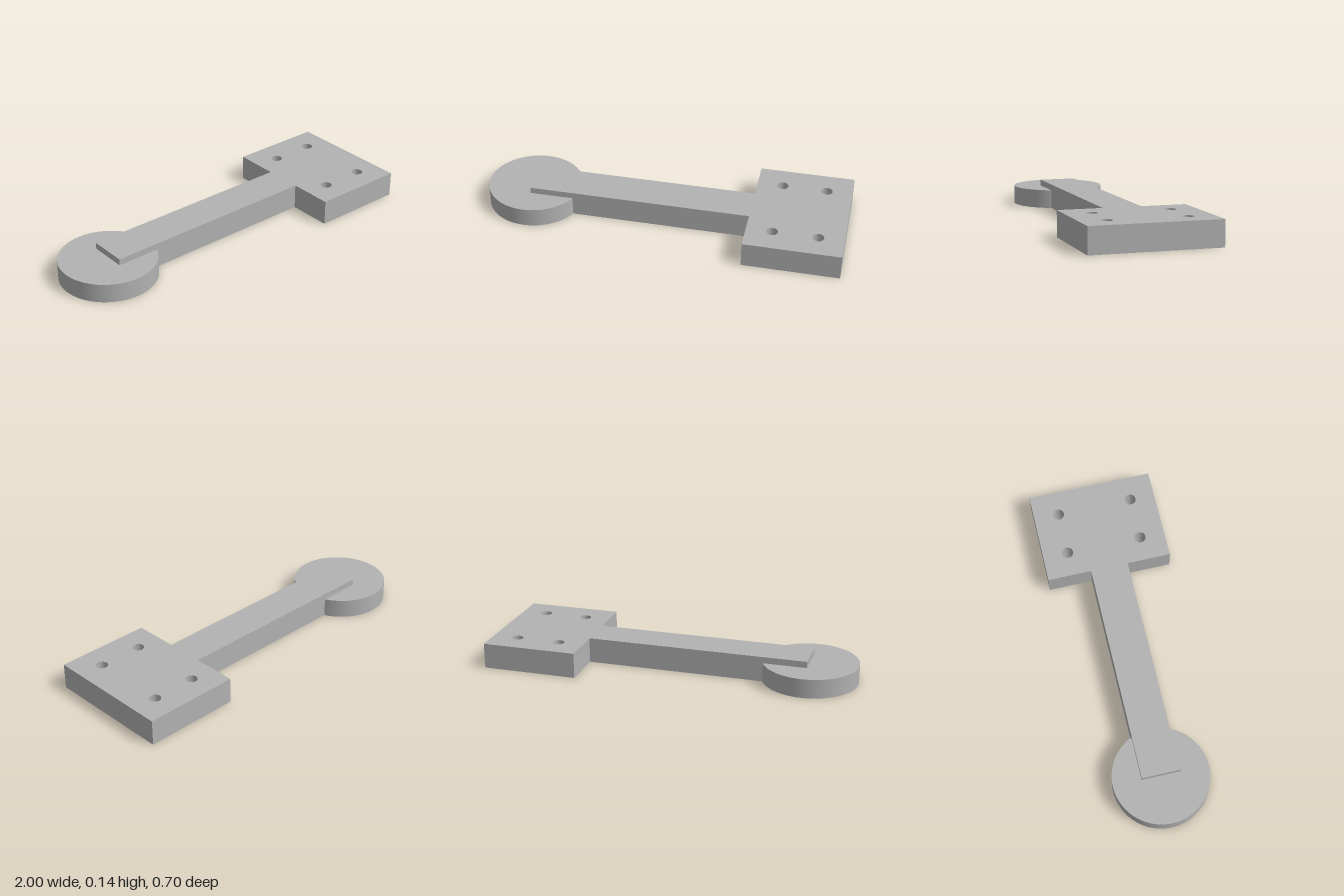
import * as THREE from 'three';
import { toCreasedNormals } from 'three/addons/utils/BufferGeometryUtils.js';

const U = 2 / 57.5; // one design unit

export function createModel() {
  const model = new THREE.Group();
  model.name = 'mountingArm';
  const grey = new THREE.MeshStandardMaterial({ color: 0xb2b2b2 });
  grey.name = 'plain grey';

  // Square-ended mounting plate and long arm, one continuous outline
  const discX = -1 + 7.5 * U;
  const plateX = 1 - 15 * U;
  const armZ = 3 * U;
  const plateZ = 10 * U;
  const outline = new THREE.Shape([
    [discX, -armZ], [plateX, -armZ], [plateX, -plateZ], [1, -plateZ],
    [1, plateZ], [plateX, plateZ], [plateX, armZ], [discX, armZ],
  ].map(([x, y]) => new THREE.Vector2(x, y)));

  // Four screw holes through the plate
  for (const x of [1 - 4 * U, 1 - 11 * U]) {
    for (const z of [-6 * U, 6 * U]) {
      const hole = new THREE.Path();
      hole.absarc(x, z, 0.9 * U, 0, Math.PI * 2, true);
      outline.holes.push(hole);
    }
  }
  const bodyGeometry = new THREE.ExtrudeGeometry(outline, {
    depth: 4 * U, bevelEnabled: false, curveSegments: 16,
  });
  bodyGeometry.rotateX(-Math.PI / 2);
  const body = new THREE.Mesh(toCreasedNormals(bodyGeometry, 0.5), grey);
  body.name = 'armAndMountingPlate';
  model.add(body);

  // Round end pad, slightly lower than the arm
  const pad = new THREE.Mesh(new THREE.CylinderGeometry(7.5 * U, 7.5 * U, 3 * U, 96), grey);
  pad.position.set(discX, 1.5 * U, 0);
  pad.name = 'roundEndPad';
  model.add(pad);

  return model;
}
